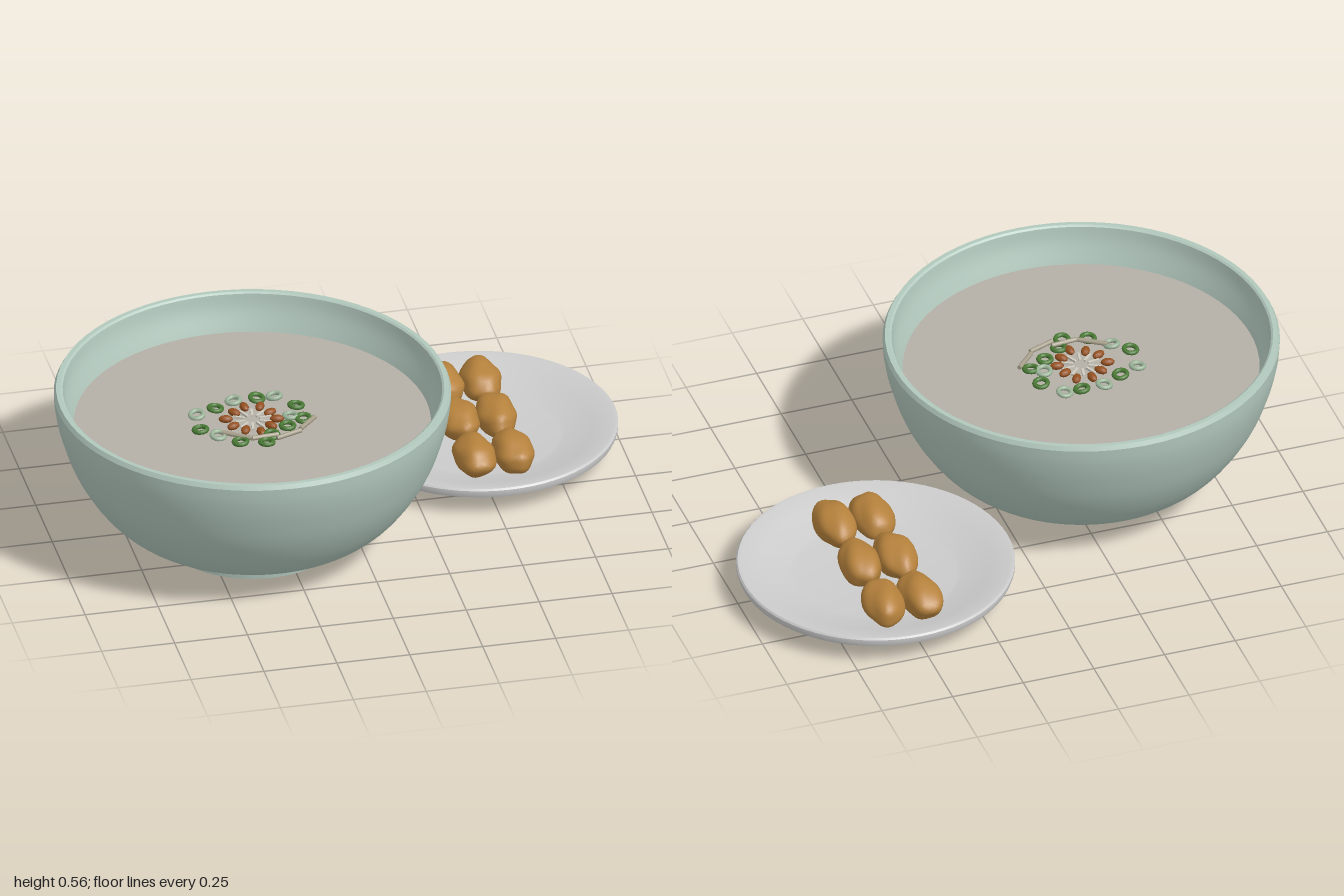
import * as THREE from 'three';
import { mergeVertices, toCreasedNormals } from 'three/addons/utils/BufferGeometryUtils.js';

const paint = (color) => new THREE.MeshStandardMaterial({ color });
const celadon = paint(0xb2c8bd);
const china = paint(0xcccccc);
const broth = paint(0xb4b0a6);
const crust = paint(0xb5813c);
const green = paint(0x4a7a35);
const paleGreen = paint(0x9db59a);
const brown = paint(0x94501f);
const cream = paint(0xd0ccc0);
const tan = paint(0xa8a08c);

const BOWL = [-0.335, 0.095];
const PLATE = [0.53, -0.3];
const SOUP_Y = 0.435;

function add(group, name, geometry, material, x = 0, y = 0, z = 0) {
  const mesh = new THREE.Mesh(geometry, material);
  mesh.name = name;
  mesh.position.set(x, y, z);
  group.add(mesh);
  return mesh;
}

const points = (list) => list.map(([r, y]) => new THREE.Vector2(r, y));
const smooth = (list, n) => new THREE.SplineCurve(points(list)).getPoints(n);
const turned = (profile) => toCreasedNormals(new THREE.LatheGeometry(profile, 72), 0.5);

// Rounded fried piece, long in z, with pointed ends and gentle lumps
function puffGeometry(seed) {
  let g = new THREE.IcosahedronGeometry(1, 5);
  g.deleteAttribute('normal');
  g.deleteAttribute('uv');
  g = mergeVertices(g);
  const p = g.attributes.position;
  for (let i = 0; i < p.count; i++) {
    const x = p.getX(i), y = p.getY(i), z = p.getZ(i);
    const lump = 1 + 0.035 * Math.sin(5 * x + 3 * z + seed) + 0.03 * Math.sin(6 * y - 5 * z + seed * 2.3);
    p.setXYZ(i, x * 0.069 * lump, y * 0.062 * lump, z * 0.112 * lump);
  }
  g.computeVertexNormals();
  return g;
}

function makeBowl() {
  const bowl = new THREE.Group();
  bowl.name = 'soupBowl';
  bowl.position.set(BOWL[0], 0, BOWL[1]);
  const outside = smooth([[0.35, 0.065], [0.42, 0.083], [0.49, 0.135], [0.55, 0.208], [0.605, 0.305],
    [0.642, 0.41], [0.66, 0.49], [0.665, 0.55]], 28);
  const inside = smooth([[0.635, 0.56], [0.625, 0.51], [0.597, 0.435], [0.55, 0.31], [0.46, 0.18], [0.3, 0.11]], 20);
  add(bowl, 'bowlBody', turned([
    ...points([[0, 0.065]]), ...outside, ...points([[0.657, 0.565], [0.642, 0.565]]), ...inside, ...points([[0, 0.1]]),
  ]), celadon);
  add(bowl, 'bowlFoot', new THREE.CylinderGeometry(0.31, 0.302, 0.075, 64), celadon, 0, 0.0375, 0);
  add(bowl, 'soup', new THREE.CylinderGeometry(0.597, 0.59, 0.015, 72), broth, 0, SOUP_Y - 0.0075, 0);
  bowl.add(makeGarnish());
  return bowl;
}

function makeGarnish() {
  const garnish = new THREE.Group();
  garnish.name = 'garnish';
  garnish.position.y = SOUP_Y;

  // Sliced onion rings scattered in a loose circle: x, z, pale
  const ringGeo = new THREE.TorusGeometry(0.022, 0.008, 8, 18).rotateX(Math.PI / 2);
  const rings = [
    [-0.035, -0.135, 1], [0.045, -0.135, 0], [0.105, -0.135, 1], [-0.105, -0.098, 0], [-0.175, -0.07, 1],
    [0.163, -0.06, 0], [-0.185, 0.03, 0], [-0.135, 0.08, 1], [-0.072, 0.138, 0], [0.013, 0.16, 0],
    [0.04, 0.115, 0], [0.105, 0.068, 0], [0.13, 0.005, 1], [0.168, 0.03, 0],
  ];
  rings.forEach(([x, z, pale], i) => {
    const ring = add(garnish, 'onionRing', ringGeo, pale ? paleGreen : green, x, 0.008, z);
    ring.rotation.set(0.12 * Math.sin(i * 2), 0, 0.12 * Math.cos(i * 3));
  });

  // Brown bits and pale slivers radiating from the middle
  const bitGeo = new THREE.SphereGeometry(1, 10, 8).scale(0.024, 0.013, 0.015);
  const sliverGeo = new THREE.BoxGeometry(0.042, 0.008, 0.008);
  for (let i = 0; i < 10; i++) {
    const a = (i / 10) * Math.PI * 2 + 0.2;
    const r = 0.082 + 0.008 * Math.sin(i * 4);
    add(garnish, 'brownBit', bitGeo, brown, r * Math.cos(a), 0.009, r * Math.sin(a)).rotation.y = -a;
    const b = a + 0.3;
    add(garnish, 'paleSliver', sliverGeo, cream, 0.046 * Math.cos(b), 0.006, 0.046 * Math.sin(b)).rotation.y = -b;
  }

  // Short stalks along the front: start x, z, end x, z
  const stalks = [[-0.12, 0.075, -0.03, 0.135], [-0.03, 0.135, 0.06, 0.128], [0.05, 0.152, 0.14, 0.118], [0.14, 0.108, 0.205, 0.04]];
  for (const [x0, z0, x1, z1] of stalks) {
    const geo = new THREE.CylinderGeometry(0.008, 0.008, Math.hypot(x1 - x0, z1 - z0), 8).rotateZ(Math.PI / 2);
    add(garnish, 'stalk', geo, tan, (x0 + x1) / 2, 0.014, (z0 + z1) / 2).rotation.y = -Math.atan2(z1 - z0, x1 - x0);
  }
  return garnish;
}

function makePlate() {
  const plate = new THREE.Group();
  plate.name = 'sidePlate';
  plate.position.set(PLATE[0], 0, PLATE[1]);
  add(plate, 'plateBody', turned(points([
    [0, 0], [0.285, 0], [0.29, 0.004], [0.312, 0.034], [0.448, 0.066], [0.462, 0.074], [0.467, 0.088],
    [0.467, 0.1], [0.462, 0.106], [0.45, 0.106], [0.38, 0.084], [0.29, 0.058], [0.27, 0.055], [0, 0.055],
  ])), china);

  // Two columns of three fried pieces
  let seed = 1;
  for (const z of [-0.255, -0.01, 0.235]) {
    for (const x of [-0.068, 0.062]) {
      const puff = add(plate, 'friedPuff', puffGeometry(seed), crust, x, 0.112, z);
      puff.rotation.y = 0.08 * Math.sin(seed * 2);
      seed += 1.7;
    }
  }
  return plate;
}

export function createModel() {
  const model = new THREE.Group();
  model.name = 'soupWithSidePlate';
  model.add(makeBowl(), makePlate());
  return model;
}
